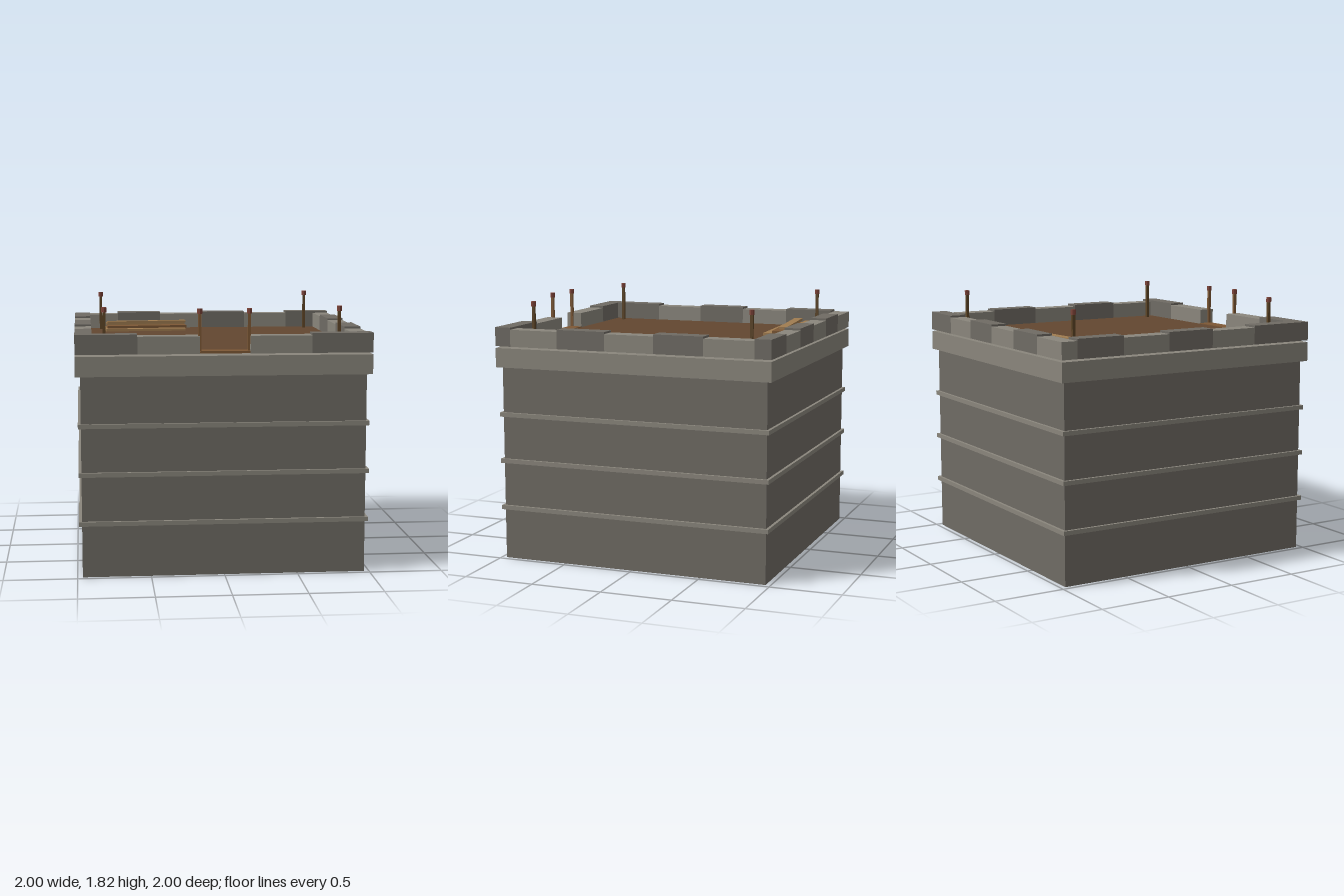
import * as THREE from 'three';

const mat = (color) => new THREE.MeshStandardMaterial({ color, flatShading: true });
const darkStone = mat(0x6f6b64), lightStone = mat(0x8a867c), earth = mat(0x634730);
const darkWood = mat(0x5c4426), wood = mat(0x7d5835), tanWood = mat(0xa07c50), red = mat(0x7d4338);

export function createModel() {
  const model = new THREE.Group();

  const box = (name, material, w, h, d, x, y, z, turn = 0) => {
    const mesh = new THREE.Mesh(new THREE.BoxGeometry(w, h, d), material);
    mesh.name = name;
    mesh.position.set(x, y, z);
    mesh.rotation.y = turn;
    model.add(mesh);
    return mesh;
  };

  // Tower body, string courses and ledge
  box('towerBody', darkStone, 1.93, 1.38, 1.93, 0, 0.69, 0);
  for (const y of [0.37, 0.705, 1.035]) box('stringCourse', lightStone, 1.97, 0.03, 1.97, 0, y, 0);
  box('ledge', lightStone, 2, 0.135, 2, 0, 1.4375, 0);

  // Roof deck and gateway threshold, floating just above the ledge
  box('deck', earth, 1.77, 0.01, 1.77, 0, 1.523, 0);
  box('threshold', wood, 0.34, 0.016, 0.1, 0, 1.526, 0.93);

  // Parapet of alternating tall dark and short light blocks
  const base = 1.518, thick = 0.115, mid = 1 - thick / 2;
  const parapetBlock = (from, to, dark, side, alongX) => {
    const h = (dark ? 1.65 : 1.636) - base, len = to - from, c = (from + to) / 2;
    const stone = dark ? darkStone : lightStone;
    if (alongX) box('parapetBlock', stone, len, h, thick, c, base + h / 2, side * mid);
    else box('parapetBlock', stone, thick, h, len, side * mid, base + h / 2, c);
  };
  for (let i = 0; i < 6; i++) parapetBlock(-1 + i / 3, -1 + (i + 1) / 3, i % 2 === 1, -1, true);
  for (let i = 0; i < 5; i++) {
    const from = -0.885 + i * 0.354;
    parapetBlock(from, from + 0.354, i % 2 === 0, -1, false);
    parapetBlock(from, from + 0.354, i % 2 === 1, 1, false);
  }
  parapetBlock(-1, -0.585, true, 1, true);
  parapetBlock(-0.585, -0.17, false, 1, true);
  parapetBlock(0.17, 0.585, false, 1, true);
  parapetBlock(0.585, 1, true, 1, true);

  // Posts with small red caps
  const post = (name, x, z, material) => {
    box(name, material, 0.02, 0.27, 0.02, x, 1.655, z);
    const cap = new THREE.Mesh(new THREE.CylinderGeometry(0.018, 0.018, 0.034, 8), red);
    cap.name = name + 'Cap';
    cap.position.set(x, 1.8, z);
    model.add(cap);
  };
  for (const x of [-0.8, 0.8]) for (const z of [-0.8, 0.8]) post('cornerPost', x, z, darkWood);
  for (const x of [-0.168, 0.165]) post('gatePost', x, 0.96, wood);

  // Loose pile of planks: [material, width, x, y, z, turn]
  const planks = [
    [tanWood, 0.09, -0.46, 1.539, -0.775, 0.04],
    [tanWood, 0.09, -0.46, 1.539, -0.69, 0.07],
    [tanWood, 0.09, -0.46, 1.539, -0.61, 0.04],
    [wood, 0.1, -0.45, 1.558, -0.67, 0.09],
    [tanWood, 0.075, -0.455, 1.574, -0.775, 0.05],
    [tanWood, 0.06, -0.45, 1.59, -0.7, 0.1],
  ];
  for (const [material, width, x, y, z, turn] of planks) box('plank', material, 0.61, 0.018, width, x, y, z, turn);

  return model;
}
